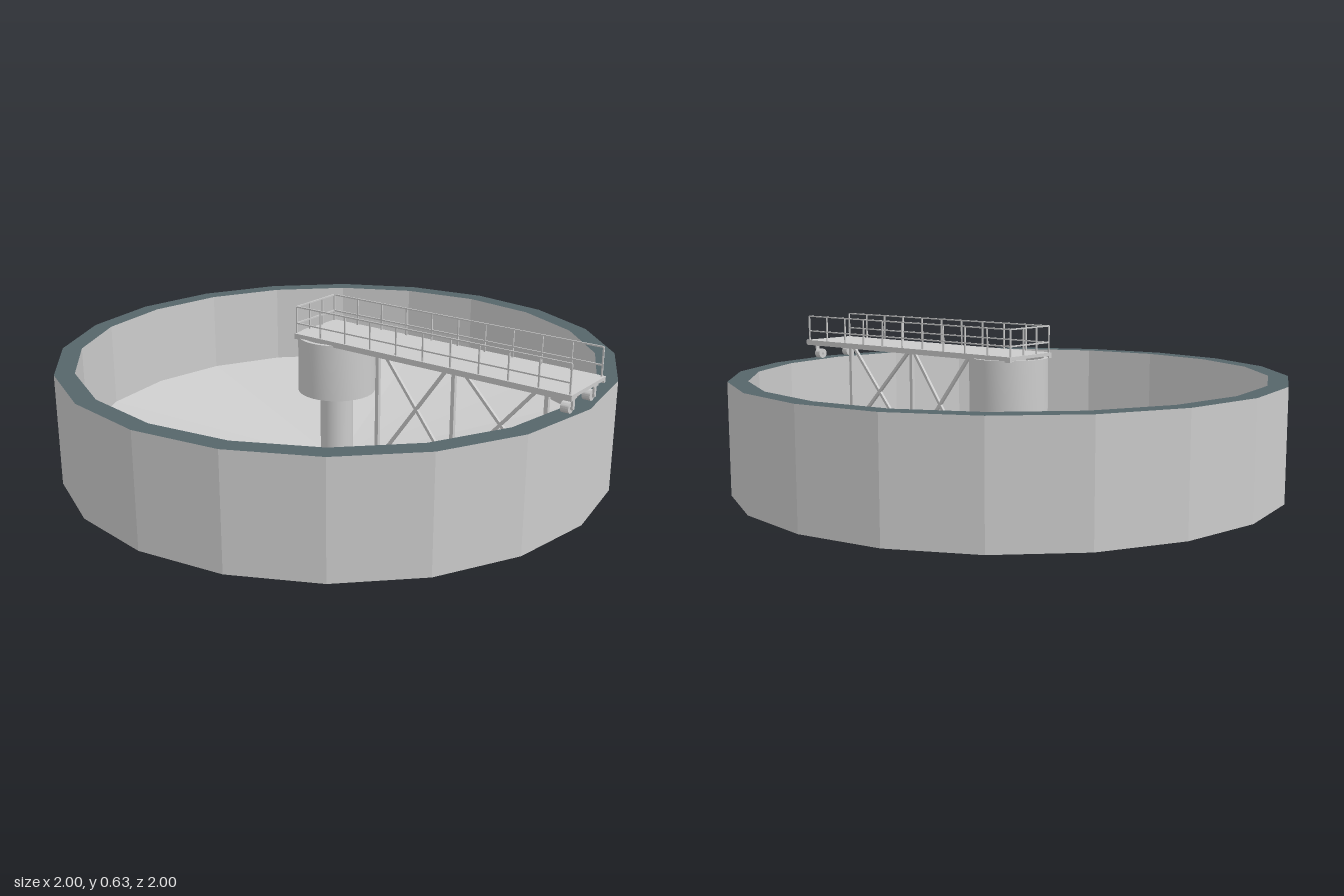
import * as THREE from 'three';
import { toCreasedNormals } from 'three/addons/utils/BufferGeometryUtils.js';

const grey = new THREE.MeshStandardMaterial({ color: 0xcccccc });
const flatGrey = new THREE.MeshStandardMaterial({ color: 0xcccccc, flatShading: true });
const rimColor = new THREE.MeshStandardMaterial({ color: 0x56656a });

function add(parent, name, geometry, material = grey) {
  const mesh = new THREE.Mesh(geometry, material);
  mesh.name = name;
  parent.add(mesh);
  return mesh;
}

function box(parent, name, size, position) {
  const mesh = add(parent, name, new THREE.BoxGeometry(...size));
  mesh.position.set(...position);
  return mesh;
}

// Square bar between two points
function bar(parent, name, a, b, height, width = height) {
  const from = new THREE.Vector3(...a), to = new THREE.Vector3(...b);
  const mesh = box(parent, name, [width, height, from.distanceTo(to)], [0, 0, 0]);
  mesh.position.copy(from).lerp(to, 0.5);
  mesh.lookAt(to);
  return mesh;
}

function lathe(points, sides) {
  return new THREE.LatheGeometry(points.map(p => new THREE.Vector2(...p)), sides);
}

export function createModel() {
  const model = new THREE.Group();
  model.name = 'settlingTank';

  // Twenty-sided basin with a conical bottom
  const sides = 20, top = 0.46, inner = 0.93;
  const floorY = r => 0.03 + 0.13 * r;
  const tank = new THREE.Group();
  tank.name = 'tank';
  model.add(tank);
  add(tank, 'outerShell', lathe([[0, 0], [1, 0.06], [1, top]], sides), flatGrey);
  add(tank, 'rim', lathe([[1, top], [inner, top]], sides), rimColor);
  add(tank, 'innerShell', lathe([[inner, top], [inner, floorY(inner)], [0, floorY(0)]], sides), flatGrey);

  // Central column inside an open feed drum
  const column = add(model, 'centreColumn', new THREE.CylinderGeometry(0.06, 0.06, 0.49, 24));
  column.position.y = 0.275;
  const drum = lathe([[0.125, 0.315], [0.14, 0.315], [0.14, 0.52], [0.125, 0.52], [0.125, 0.315]], 32);
  add(model, 'feedDrum', toCreasedNormals(drum, 0.6));

  // Walkway deck with edge beams
  const bridge = new THREE.Group();
  bridge.name = 'bridge';
  model.add(bridge);
  const deckY = 0.535, start = -0.1, end = 0.99, mid = (start + end) / 2;
  box(bridge, 'deck', [end - start, 0.012, 0.23], [mid, deckY - 0.006, 0]);
  for (const s of [-1, 1]) {
    box(bridge, 'edgeBeam', [end - start, 0.02, 0.012], [mid, deckY - 0.01, s * 0.112]);
  }

  // Handrails along both sides and across the drum end
  const x0 = -0.095, x1 = 0.98, railZ = 0.109, thick = 0.005, railTop = 0.632;
  const post = (x, z) => bar(bridge, 'railPost', [x, deckY, z], [x, railTop, z], thick);
  for (const s of [-1, 1]) {
    for (let i = 0; i <= 10; i++) post(x0 + (x1 - x0) * i / 10, s * railZ);
  }
  for (const z of [-railZ / 3, railZ / 3]) post(x0, z);
  for (const y of [0.572, railTop]) {
    for (const s of [-1, 1]) bar(bridge, 'sideRail', [x0, y, s * railZ], [x1, y, s * railZ], thick);
    bar(bridge, 'endRail', [x0, y, -railZ], [x0, y, railZ], thick);
  }

  // Braced truss carrying the sloping scraper arm
  const truss = new THREE.Group();
  truss.name = 'scraperTruss';
  model.add(truss);
  const armY = x => floorY(x) + 0.025;
  const trussTop = 0.525, posts = [0.185, 0.5, 0.85];
  bar(truss, 'scraperArm', [0.05, armY(0.05), 0], [0.89, armY(0.89), 0], 0.025, 0.03);
  posts.forEach((x, i) => {
    bar(truss, 'trussPost', [x, armY(x), 0], [x, trussTop, 0], 0.014);
    if (i === 0) return;
    const p = posts[i - 1];
    bar(truss, 'brace', [p, trussTop, 0], [x, armY(x), 0], 0.011);
    bar(truss, 'brace', [p, armY(p), 0], [x, trussTop, 0], 0.011);
  });

  // Wheels running on the rim, each with bracket and axle
  for (const s of [-1, 1]) {
    const carriage = new THREE.Group();
    carriage.name = 'wheelCarriage';
    carriage.position.set(0.955, 0, s * 0.074);
    model.add(carriage);
    const wheel = add(carriage, 'wheel', toCreasedNormals(new THREE.CylinderGeometry(0.019, 0.019, 0.028, 20), 0.6));
    wheel.rotation.z = Math.PI / 2;
    wheel.position.y = top + 0.019;
    bar(carriage, 'axle', [-0.018, top + 0.019, 0], [0.024, top + 0.019, 0], 0.008);
    box(carriage, 'bracketTop', [0.046, 0.01, 0.03], [0.002, 0.515, 0]);
    box(carriage, 'bracketPlate', [0.006, 0.042, 0.014], [0.02, 0.495, 0]);
  }

  return model;
}
